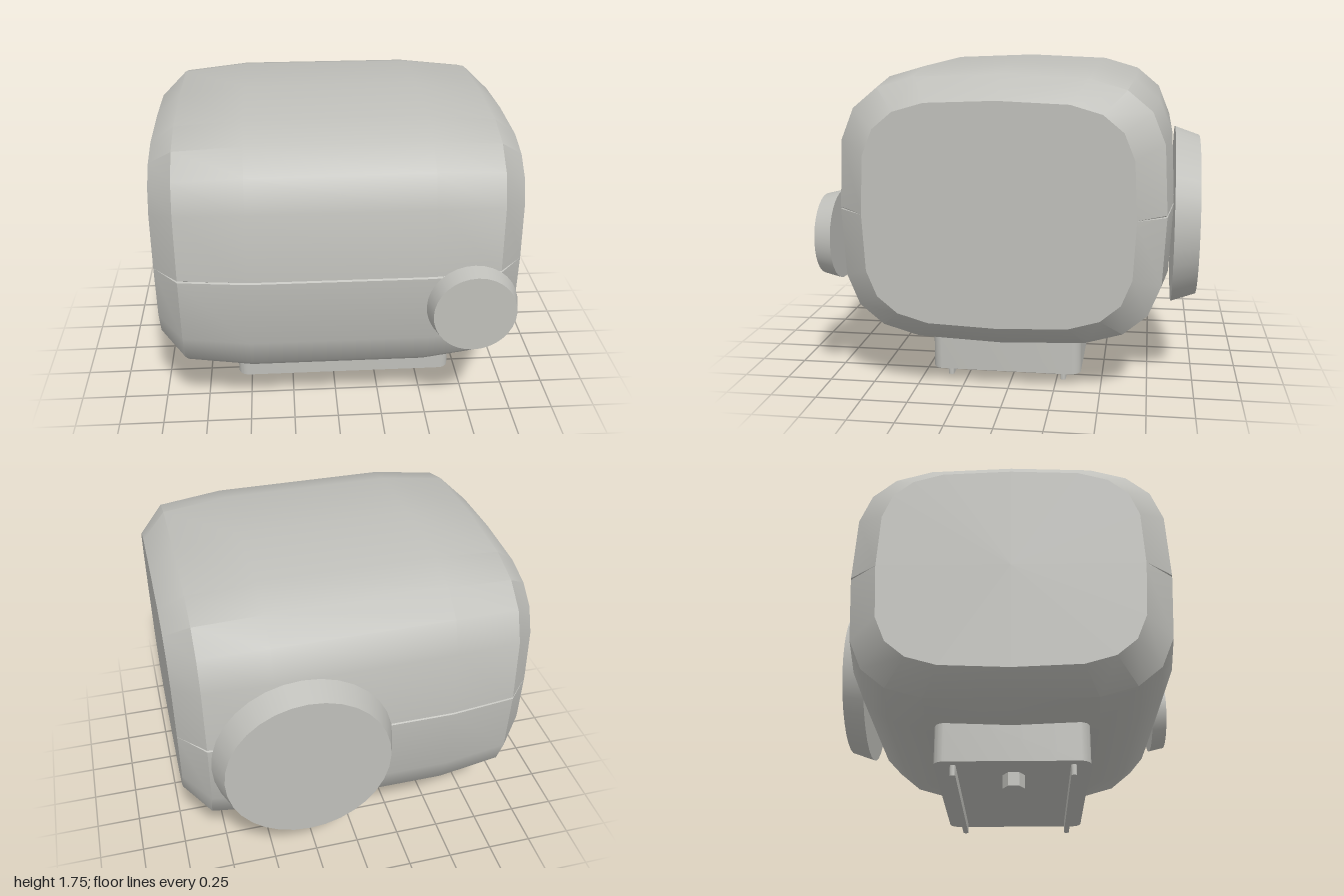
import * as THREE from 'three';
import { toCreasedNormals } from 'three/addons/utils/BufferGeometryUtils.js';

const CY = 1.005, CZ = 0.02; // centre of the body's cross-section

// Quarter of the unit cross-section, from the top centre to the side [z, y]
const QUARTER = [[0, 1], [0.52, 0.975], [0.75, 0.895], [0.9, 0.745], [0.978, 0.515], [1, 0.008]];

// Closed cross-section at x, with a fine parting groove halfway up both sides
function section(x, halfZ, halfY, groove) {
  const down = QUARTER.map(([z, y]) => [z * halfZ, y * halfY]);
  const up = down.map(([z, y]) => [z, -y]).reverse();
  const half = [...down, [halfZ - groove, 0], ...up];
  const other = half.slice(1, -1).reverse().map(([z, y]) => [-z, y]);
  return [...half, ...other].map(([z, y]) => new THREE.Vector3(x, CY + y, CZ + z));
}

// Skin through the sections along +x, closed by flat ends
function loft(rings) {
  const pos = [];
  const tri = (a, b, c) => [a, b, c].forEach((p) => pos.push(p.x, p.y, p.z));
  const n = rings[0].length;
  for (let r = 0; r < rings.length - 1; r++) {
    for (let i = 0; i < n; i++) {
      const j = (i + 1) % n;
      const a = rings[r][i], b = rings[r][j], c = rings[r + 1][j], d = rings[r + 1][i];
      tri(a, b, c);
      tri(a, c, d);
    }
  }
  const first = rings[0], last = rings[rings.length - 1];
  const c0 = new THREE.Vector3(first[0].x, CY, CZ);
  const c1 = new THREE.Vector3(last[0].x, CY, CZ);
  for (let i = 0; i < n; i++) {
    const j = (i + 1) % n;
    tri(c0, first[j], first[i]);
    tri(c1, last[i], last[j]);
  }
  const g = new THREE.BufferGeometry();
  g.setAttribute('position', new THREE.Float32BufferAttribute(pos, 3));
  return toCreasedNormals(g, THREE.MathUtils.degToRad(40));
}

// Block with rounded vertical edges
function roundedBlock(x0, x1, y0, y1, z0, z1, r) {
  const s = new THREE.Shape();
  const a = -z1, b = -z0;
  s.moveTo(x0 + r, a);
  s.lineTo(x1 - r, a);
  s.absarc(x1 - r, a + r, r, -Math.PI / 2, 0);
  s.lineTo(x1, b - r);
  s.absarc(x1 - r, b - r, r, 0, Math.PI / 2);
  s.lineTo(x0 + r, b);
  s.absarc(x0 + r, b - r, r, Math.PI / 2, Math.PI);
  s.lineTo(x0, a + r);
  s.absarc(x0 + r, a + r, r, Math.PI, Math.PI * 1.5);
  const g = new THREE.ExtrudeGeometry(s, { depth: y1 - y0, bevelEnabled: false, curveSegments: 5 });
  g.rotateX(-Math.PI / 2).translate(0, y0, 0);
  return toCreasedNormals(g, 0.6);
}

export function createModel() {
  const model = new THREE.Group();
  model.name = 'housing';
  const grey = new THREE.MeshStandardMaterial({ color: 0xbfbfba });
  grey.name = 'warm grey';

  const add = (name, geometry) => {
    const mesh = new THREE.Mesh(geometry, grey);
    mesh.name = name;
    model.add(mesh);
    return mesh;
  };

  // Rounded main body with chamfered ends
  const ends = [[0.975, 0.7, 0.585, 0], [0.84, 0.85, 0.707, 0.008], [0.48, 0.89, 0.742, 0.01]];
  add('body', loft([
    ...ends.map(([x, z, y, g]) => section(-x, z, y, g)),
    ...ends.slice().reverse().map(([x, z, y, g]) => section(x, z, y, g)),
  ]));

  // Tapered discs on the front and back
  const frontKnob = add('frontKnob', new THREE.CylinderGeometry(0.218, 0.24, 0.092, 32));
  frontKnob.rotation.x = Math.PI / 2;
  frontKnob.position.set(0.69, 0.83, 0.954);
  const backDisc = add('backDisc', new THREE.CylinderGeometry(0.44, 0.486, 0.132, 32));
  backDisc.rotation.x = -Math.PI / 2;
  backDisc.position.set(0.345, 0.917, -0.934);

  // Mounting foot, its two rails and the locating peg
  add('foot', roundedBlock(-0.575, 0.69, 0.075, 0.36, -0.39, 0.43, 0.06));
  for (const [name, z] of [['frontRail', 0.34], ['backRail', -0.29]]) {
    add(name, roundedBlock(-0.52, 0.63, 0.018, 0.08, z - 0.015, z + 0.015, 0.012));
  }
  const peg = add('peg', toCreasedNormals(new THREE.CylinderGeometry(0.06, 0.06, 0.08, 6), 0.5));
  peg.position.set(-0.345, 0.04, 0.025);

  return model;
}
